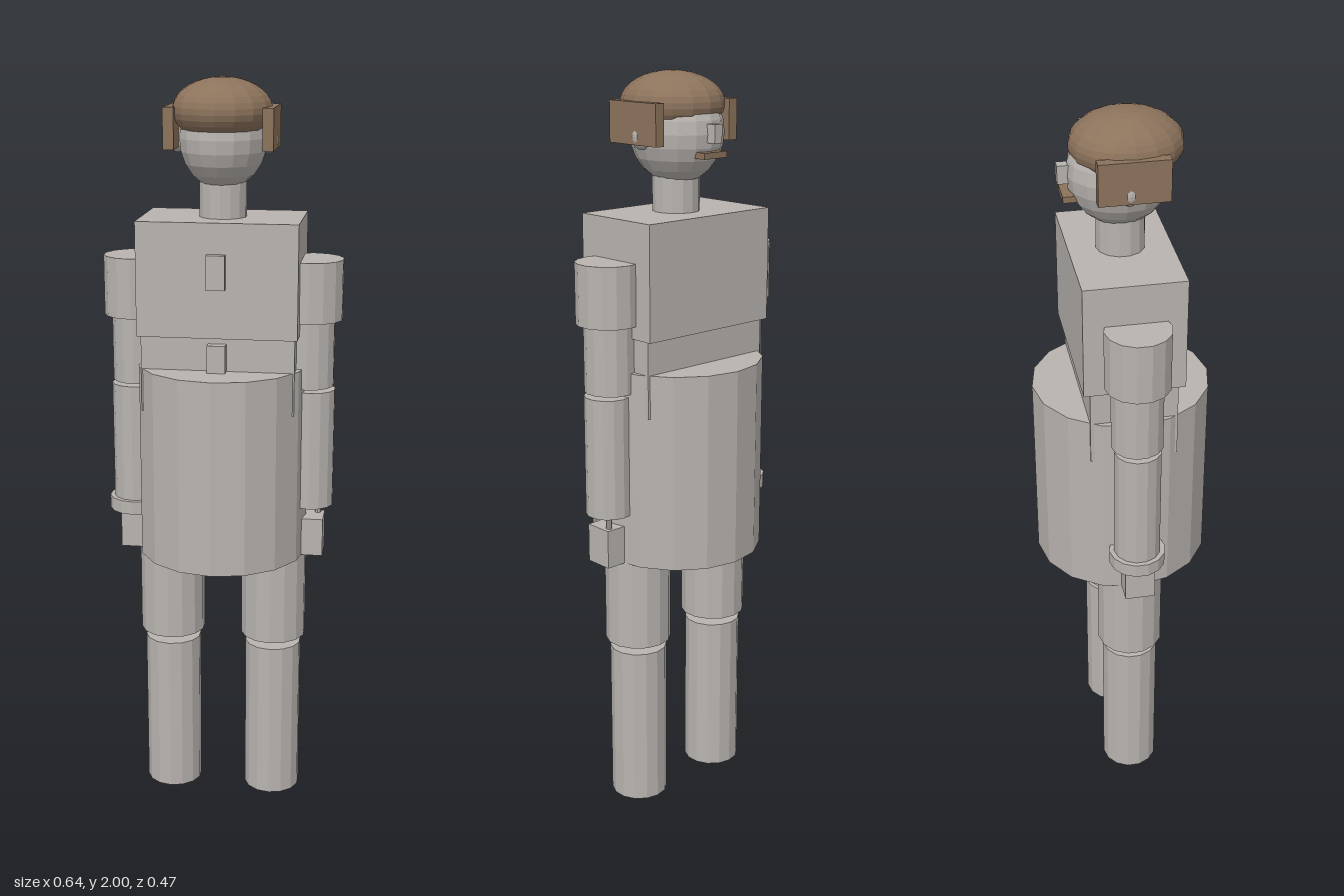
import * as THREE from 'three';

export function createModel() {
  const model = new THREE.Group();
  model.name = 'figure';
  const grey = new THREE.MeshStandardMaterial({ color: 0xb8b3af, flatShading: true });
  grey.name = 'paleGrey';
  const brown = new THREE.MeshStandardMaterial({ color: 0x8c735c, flatShading: true, side: THREE.DoubleSide });
  brown.name = 'hairBrown';

  const add = (name, geometry, material, x, y, z) => {
    const mesh = new THREE.Mesh(geometry, material);
    mesh.name = name;
    mesh.position.set(x, y, z);
    model.add(mesh);
    return mesh;
  };
  // Box given by centre x, half width, y range and z range
  const box = (name, mat, x, halfW, y0, y1, z0, z1) =>
    add(name, new THREE.BoxGeometry(halfW * 2, y1 - y0, z1 - z0), mat, x, (y0 + y1) / 2, (z0 + z1) / 2);
  // Upright faceted cylinder given by radius and y range
  const tube = (name, r, x, y0, y1, sides = 14) =>
    add(name, new THREE.CylinderGeometry(r, r, y1 - y0, sides), grey, x, (y0 + y1) / 2, 0.002);
  const ellipsoid = (name, mat, x, y, z, rx, ry, rz, theta = Math.PI) =>
    add(name, new THREE.SphereGeometry(1, 16, 12, 0, Math.PI * 2, 0, theta).scale(rx, ry, rz), mat, x, y, z);

  // Torso, waist, skirt and front buttons
  box('chest', grey, 0, 0.211, 1.345, 1.645, -0.13, 0.13);
  box('waist', grey, 0, 0.203, 1.14, 1.345, -0.113, 0.113);
  tube('skirt', 0.235, 0, 0.725, 1.255, 16).scale.x = 0.98;
  box('chestButton', grey, 0, 0.024, 1.475, 1.565, 0.12, 0.15);
  box('waistButton', grey, 0, 0.024, 1.24, 1.328, 0.1, 0.14);

  // Neck, head and hair
  tube('neck', 0.062, 0, 1.64, 1.76);
  ellipsoid('head', grey, 0, 1.848, 0, 0.115, 0.133, 0.132);
  ellipsoid('hairCap', brown, 0, 1.918, 0.016, 0.13, 0.082, 0.141, Math.PI * 0.7);
  box('nose', grey, 0, 0.013, 1.828, 1.875, -0.154, -0.11);
  box('moustache', brown, 0, 0.039, 1.79, 1.806, -0.145, -0.1);

  for (const [side, s] of [['left', 1], ['right', -1]]) {
    // Side hair and ears
    box(side + 'SideHair', brown, s * 0.127, 0.014, 1.822, 1.928, -0.077, 0.099);
    ellipsoid(side + 'Ear', grey, s * 0.118, 1.842, 0.002, 0.026, 0.034, 0.022);

    // Arm
    tube(side + 'Shoulder', 0.085, s * 0.235, 1.38, 1.54);
    tube(side + 'UpperArm', 0.068, s * 0.232, 1.2, 1.4);
    tube(side + 'Forearm', 0.062, s * 0.242, 0.865, 1.19);
    tube(side + 'Wrist', 0.008, s * 0.262, 0.82, 0.87, 8).position.z = -0.02;
    box(side + 'Hand', grey, s * 0.235, 0.045, 0.725, 0.83, -0.036, 0.044);

    // Leg
    tube(side + 'Thigh', 0.09, s * 0.143, 0.475, 0.8);
    tube(side + 'Shin', 0.078, s * 0.143, 0, 0.45);
  }

  // Band on one wrist only
  tube('wristBand', 0.075, -0.242, 0.83, 0.867);
  return model;
}
